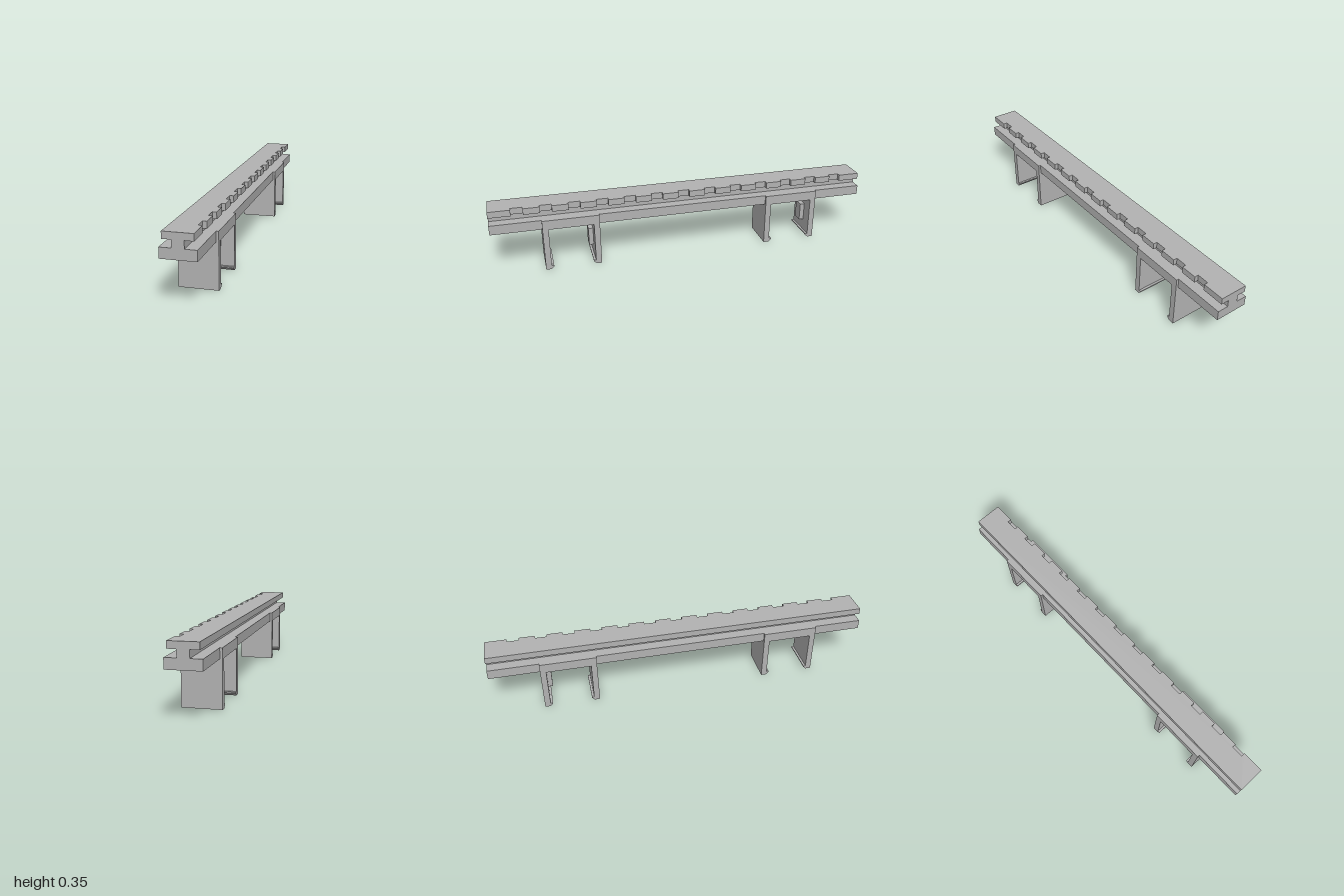
import * as THREE from 'three';

export function createModel() {
  const root = new THREE.Group();
  root.name = 'clipRail';
  const grey = new THREE.MeshStandardMaterial({ color: 0xb2b2b2 });
  grey.name = 'plain grey';

  const add = (name, geometry, parent = root) => {
    const mesh = new THREE.Mesh(geometry, grey);
    mesh.name = name;
    parent.add(mesh);
    return mesh;
  };
  // Extrude a list of points, centred on the extrusion axis
  const extrude = (points, depth) => {
    const shape = new THREE.Shape(points.map(([x, y]) => new THREE.Vector2(x, y)));
    return new THREE.ExtrudeGeometry(shape, { depth, bevelEnabled: false }).translate(0, 0, -depth / 2);
  };

  // Lower bar with the narrow web standing on it
  add('baseBar', extrude([
    [-0.083, 0.227], [0.083, 0.227], [0.083, 0.277], [0.028, 0.277],
    [0.028, 0.313], [-0.028, 0.313], [-0.028, 0.277], [-0.083, 0.277],
  ], 2));

  // Top rail with thirteen square notches along its left edge
  const outline = [[-0.07, -1], [0.07, -1]];
  for (let i = -6; i <= 6; i++) {
    const c = i * 0.143;
    outline.push([0.07, c - 0.03], [0.05, c - 0.03], [0.05, c + 0.03], [0.07, c + 0.03]);
  }
  outline.push([0.07, 1], [-0.07, 1]);
  add('notchedRail', extrude(outline, 0.033).rotateX(-Math.PI / 2).translate(0, 0.3295, 0));

  // Clips: a U-shaped bracket with barbed feet, and a pad on the rear leg
  const half = [
    [0.115, 0.227], [0.115, 0.02], [0.103, 0.02], [0.103, 0.014],
    [0.117, 0], [0.145, 0], [0.145, 0.277],
  ];
  const mirrored = half.map(([z, y]) => [-z, y]).reverse();
  for (const [name, z] of [['frontClip', 0.597], ['rearClip', -0.597]]) {
    const clip = new THREE.Group();
    clip.name = name;
    clip.position.z = z;
    add('bracket', extrude([...half, ...mirrored], 0.19).rotateY(-Math.PI / 2), clip);
    add('pad', new THREE.BoxGeometry(0.056, 0.095, 0.026), clip).position.set(0, 0.127, -0.104);
    root.add(clip);
  }
  return root;
}
